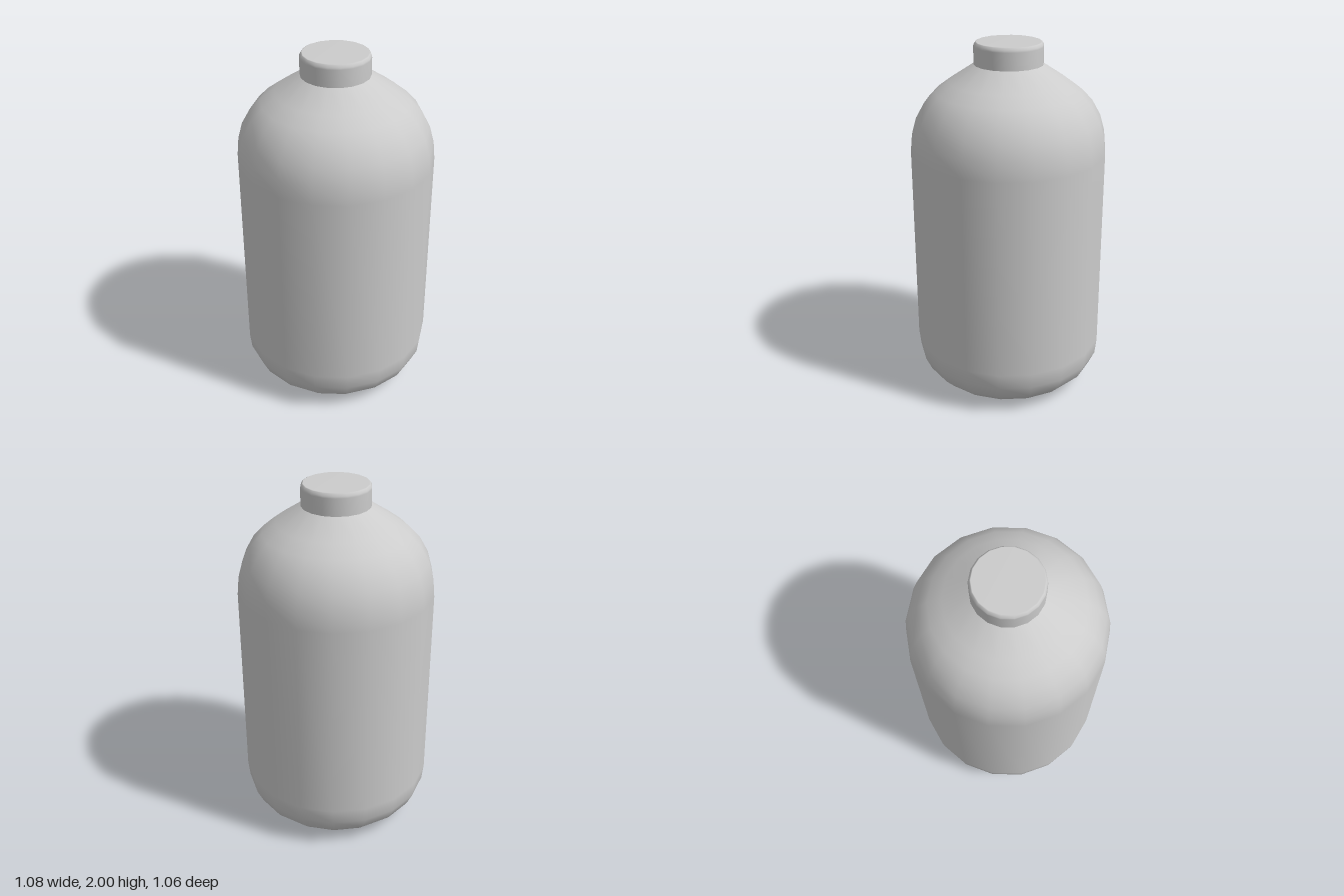
import * as THREE from 'three';

const SIDES = 18;
const material = new THREE.MeshStandardMaterial({ color: 0xcccccc });

// Revolves a [radius, height] profile, with a corner of the 18-gon on +x
function turned(name, profile) {
  const points = profile.map(([r, y]) => new THREE.Vector2(r, y));
  const mesh = new THREE.Mesh(new THREE.LatheGeometry(points, SIDES, Math.PI / 2), material);
  mesh.name = name;
  return mesh;
}

export function createModel() {
  const group = new THREE.Group();
  group.name = 'bottle';

  // Body: flat base, rounded foot, straight wall, domed shoulder sloping to the neck
  group.add(turned('body', [
    [0, 0], [0.27, 0.005], [0.37, 0.02], [0.44, 0.05], [0.495, 0.105], [0.53, 0.18], [0.54, 0.27],
    [0.54, 1.4], [0.53, 1.5], [0.505, 1.59], [0.457, 1.675], [0.4, 1.735], [0.325, 1.79], [0.18, 1.885],
  ]));

  // Cap: short cylinder with a small bevelled rim; doubled loops keep the flats crisp
  group.add(turned('cap', [
    [0.187, 1.87], [0.188, 1.88], [0.188, 1.975], [0.187, 1.985], [0.179, 1.998], [0.174, 2], [0, 2],
  ]));

  return group;
}
